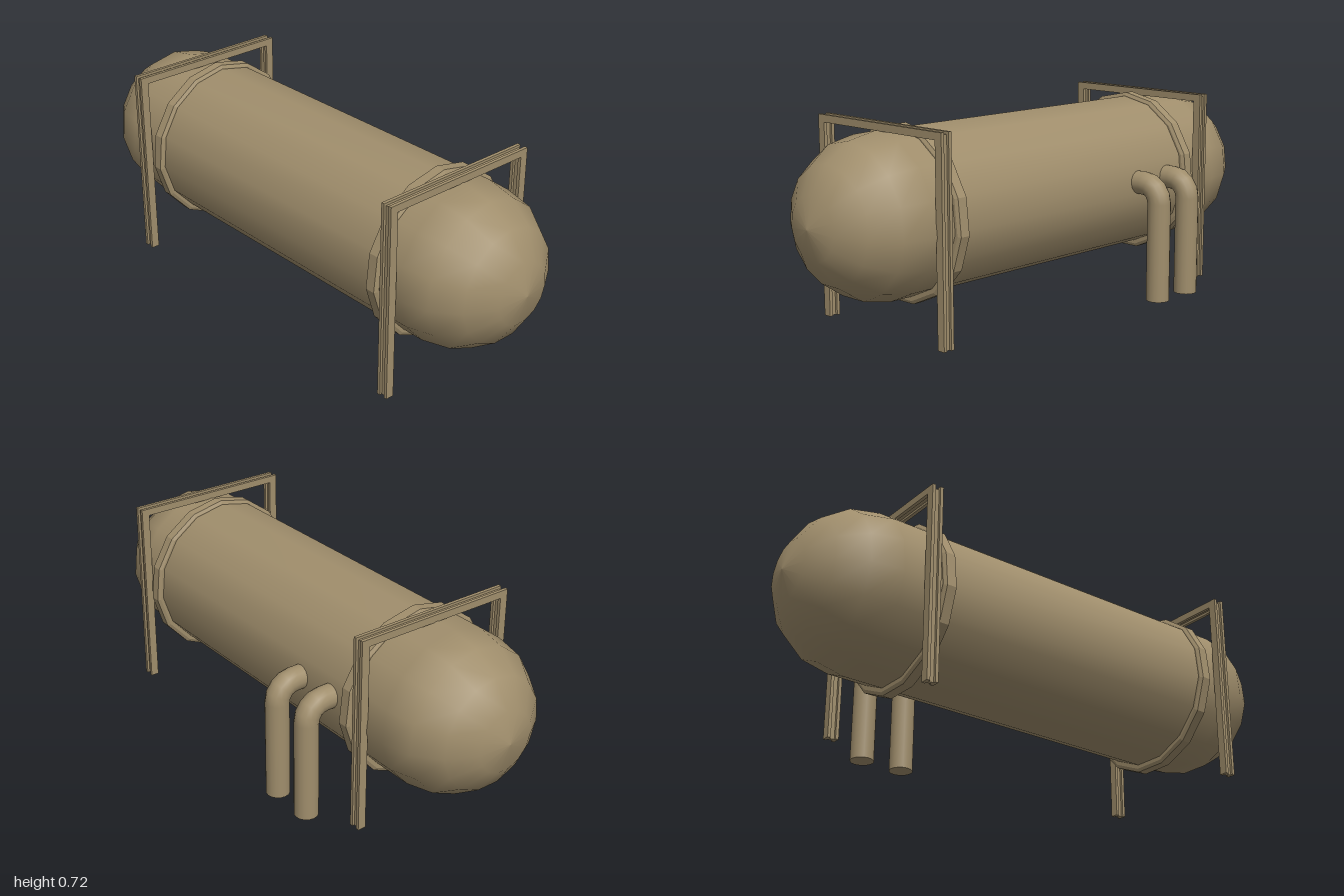
import * as THREE from 'three';

const SIDES = 15;

export function createModel() {
  const model = new THREE.Group();
  model.name = 'storageTank';
  const smooth = new THREE.MeshStandardMaterial({ color: 0xa08e6c });
  const flat = new THREE.MeshStandardMaterial({ color: 0xa08e6c, flatShading: true });

  const add = (parent, name, geometry, material, x = 0, y = 0, z = 0) => {
    const mesh = new THREE.Mesh(geometry, material);
    mesh.name = name;
    mesh.position.set(x, y, z);
    parent.add(mesh);
    return mesh;
  };

  // Solid of revolution lying along x, with one corner pointing straight up
  const lathe = (points) =>
    new THREE.LatheGeometry(points.map(([r, x]) => new THREE.Vector2(r, x)), SIDES, -Math.PI / 2)
      .rotateZ(-Math.PI / 2);

  // Tank: cylinder with domed ends
  const R = 0.2835, half = 1 - R, steps = 4;
  const profile = [];
  for (let i = 0; i <= steps; i++) {
    const a = (i / steps) * Math.PI / 2;
    profile.push([R * Math.sin(a), -half - R * Math.cos(a)]);
  }
  profile[0][0] = 0;
  const mirrored = profile.map(([r, x]) => [r, -x]).reverse();
  add(model, 'tankBody', lathe([...profile, ...mirrored]), smooth, 0, 0.411, 0.053);

  // Bevelled straps around the tank
  const strap = lathe([
    [0.25, -0.024], [0.292, -0.024], [0.3035, -0.018],
    [0.3035, 0.018], [0.292, 0.024], [0.25, 0.024],
  ]);
  add(model, 'rightStrap', strap, flat, -0.545, 0.405, 0.051);
  add(model, 'leftStrap', strap, flat, 0.607, 0.405, 0.051);

  // Support frames: H-section posts and top beam
  const zBack = -0.253, zFront = 0.365, bottom = 0.012, top = 0.718;
  // Portal outline, inset on both edges, extruded along x
  const portal = (inset, width) => {
    const o = inset, t = 0.03 - inset, b = 0.026 - inset;
    const corners = [
      [zBack + o, bottom], [zBack + t, bottom], [zBack + t, top - b], [zFront - t, top - b],
      [zFront - t, bottom], [zFront - o, bottom], [zFront - o, top - o], [zBack + o, top - o],
    ];
    const shape = new THREE.Shape(corners.map(([z, y]) => new THREE.Vector2(-z, y)));
    return new THREE.ExtrudeGeometry(shape, { depth: width, bevelEnabled: false })
      .translate(0, 0, -width / 2)
      .rotateY(Math.PI / 2);
  };
  const flange = portal(0, 0.012);
  const web = portal(0.009, 0.03);
  for (const [name, x] of [['rightFrame', -0.618], ['leftFrame', 0.685]]) {
    const frame = new THREE.Group();
    frame.name = name;
    frame.position.x = x;
    add(frame, 'outerFlange', flange, flat, -0.0155);
    add(frame, 'innerFlange', flange, flat, 0.0155);
    add(frame, 'web', web, flat);
    model.add(frame);
  }

  // Drain pipes at the back: upright, elbow and stub into the tank
  const r = 0.0425, bend = 0.065, elbowY = 0.36, elbowZ = -0.255, stub = 0.1;
  const upright = new THREE.CylinderGeometry(r, r, elbowY, 16);
  const elbow = new THREE.TorusGeometry(bend, r, 16, 4, Math.PI / 2).rotateY(Math.PI / 2);
  const inlet = new THREE.CylinderGeometry(r, r, stub, 16).rotateX(Math.PI / 2);
  for (const [name, x] of [['outerPipe', -0.443], ['innerPipe', -0.281]]) {
    const pipe = new THREE.Group();
    pipe.name = name;
    pipe.position.x = x;
    add(pipe, 'upright', upright, smooth, 0, elbowY / 2, elbowZ - bend);
    add(pipe, 'elbow', elbow, smooth, 0, elbowY, elbowZ);
    add(pipe, 'inlet', inlet, smooth, 0, elbowY + bend, elbowZ + stub / 2);
    model.add(pipe);
  }

  return model;
}
